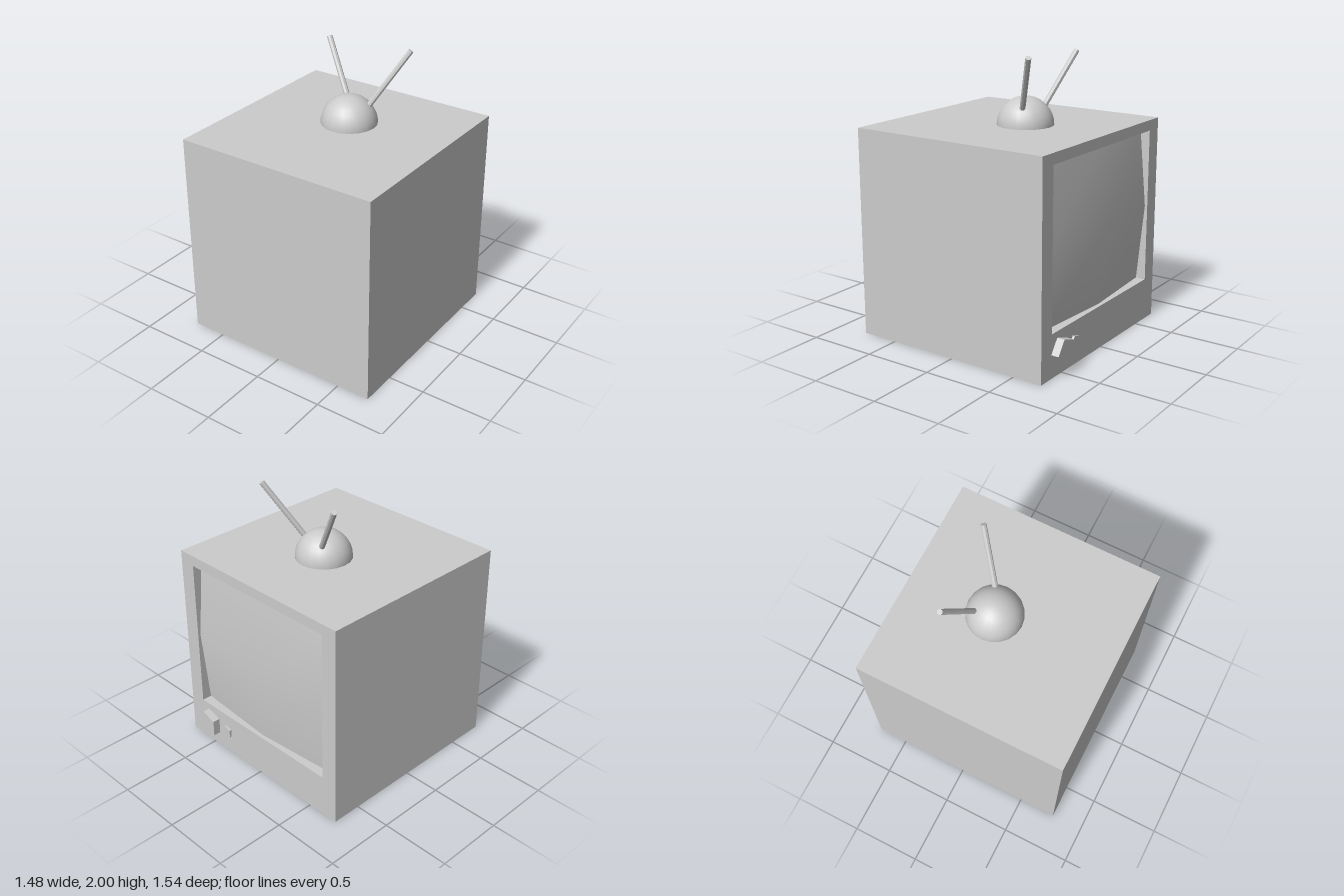
import * as THREE from 'three';

const BACK = -0.715, FRONT = 0.77, W = 1.48, H = 1.48;
const HOLE = { w: 1.24, h: 1.1, y: 0.855, depth: 0.072 };

const smooth = new THREE.MeshStandardMaterial({ color: 0xcccccc });
const flat = new THREE.MeshStandardMaterial({ color: 0xcccccc, flatShading: true });
const twoSided = new THREE.MeshStandardMaterial({ color: 0xcccccc, side: THREE.DoubleSide });

function add(parent, name, geometry, material = smooth) {
  const mesh = new THREE.Mesh(geometry, material);
  mesh.name = name;
  parent.add(mesh);
  return mesh;
}

// A box keeping only its first few sides, in the order +x, -x, +y, -y, +z, -z
function openBox(w, h, d, sides) {
  const g = new THREE.BoxGeometry(w, h, d);
  g.setIndex(Array.from(g.index.array).slice(0, sides * 6));
  g.clearGroups();
  return g;
}

function rectangle(PathType, w, h, y) {
  return new PathType([[-1, -1], [1, -1], [1, 1], [-1, 1]]
    .map(([sx, sy]) => new THREE.Vector2(sx * w / 2, y + sy * h / 2)));
}

// Five-sided knob standing out from the screen side, one corner towards +x
function knob(parent, name, x, y, radius, depth) {
  const g = new THREE.CylinderGeometry(radius, radius, depth, 5);
  g.rotateX(-Math.PI / 2).rotateZ(-Math.PI / 2);
  add(parent, name, g, flat).position.set(x, y, BACK - depth / 2);
}

function rod(parent, name, from, to, radius) {
  const a = new THREE.Vector3(...from), b = new THREE.Vector3(...to);
  const dir = b.clone().sub(a);
  const mesh = add(parent, name, new THREE.CylinderGeometry(radius, radius, dir.length(), 8), flat);
  mesh.position.copy(a).add(b).multiplyScalar(0.5);
  mesh.quaternion.setFromUnitVectors(new THREE.Vector3(0, 1, 0), dir.normalize());
}

export function createModel() {
  const model = new THREE.Group();
  model.name = 'television';

  // Cabinet: five closed sides
  add(model, 'cabinet', openBox(W, H, FRONT - BACK, 5))
    .position.set(0, H / 2, (FRONT + BACK) / 2);

  // Bezel around the screen opening
  const frame = rectangle(THREE.Shape, W, H, H / 2);
  frame.holes.push(rectangle(THREE.Path, HOLE.w, HOLE.h, HOLE.y));
  add(model, 'bezel', new THREE.ShapeGeometry(frame).rotateY(Math.PI).translate(0, 0, BACK));

  // Walls of the recess
  add(model, 'recess', openBox(HOLE.w, HOLE.h, HOLE.depth, 4), twoSided)
    .position.set(0, HOLE.y, BACK + HOLE.depth / 2);

  // Screen bulging towards its centre
  const screen = new THREE.PlaneGeometry(HOLE.w, HOLE.h, 2, 2);
  const p = screen.attributes.position;
  for (let i = 0; i < p.count; i++) {
    const u = Math.abs(p.getX(i)) / (HOLE.w / 2), v = Math.abs(p.getY(i)) / (HOLE.h / 2);
    p.setZ(i, 0.025 - 0.044 * u - 0.053 * v);
  }
  screen.computeVertexNormals();
  add(model, 'screen', screen.rotateY(Math.PI).translate(0, HOLE.y, BACK));

  // Controls below the screen
  knob(model, 'largeKnob', 0.525, 0.165, 0.1, 0.055);
  knob(model, 'smallKnob', 0.352, 0.165, 0.048, 0.016);

  // Aerial: dome and two rods
  const aerial = new THREE.Group();
  aerial.name = 'aerial';
  model.add(aerial);
  add(aerial, 'aerialDome', new THREE.SphereGeometry(0.197, 20, 8, 0, Math.PI * 2, 0, Math.PI / 2))
    .position.set(0, H, -0.087);
  rod(aerial, 'leftRod', [0.11, 1.59, -0.135], [0.327, 1.988, -0.33], 0.02);
  rod(aerial, 'rightRod', [-0.08, 1.605, -0.185], [-0.31, 1.97, -0.298], 0.02);

  return model;
}
